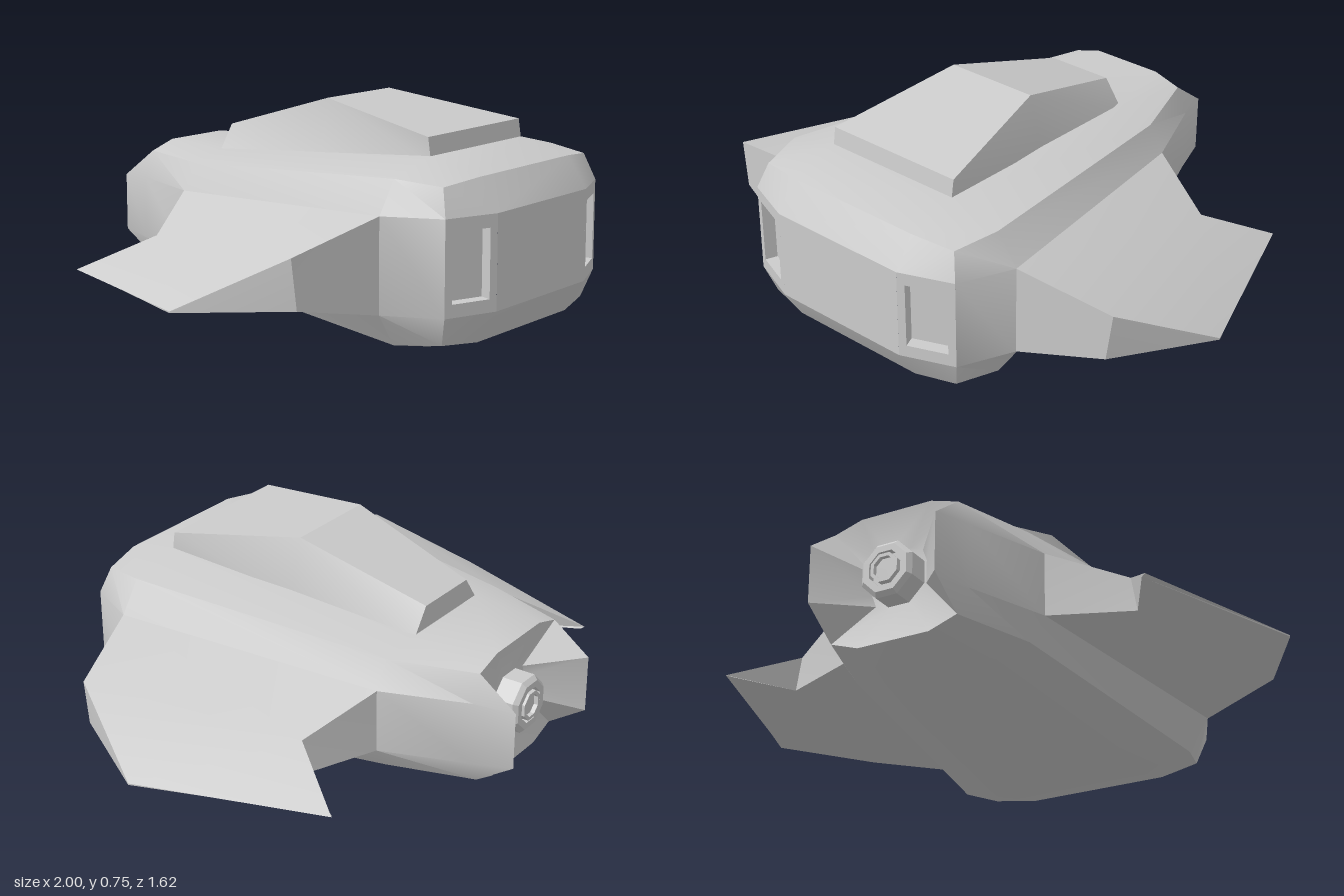
import * as THREE from 'three';
import { toCreasedNormals } from 'three/addons/utils/BufferGeometryUtils.js';

const material = new THREE.MeshStandardMaterial({ color: 0xcccccc });

function addMesh(parent, name, geometry) {
  const mesh = new THREE.Mesh(geometry, material);
  mesh.name = name;
  parent.add(mesh);
  return mesh;
}

// Triangles (lists of three [x, y, z] points) to a geometry, dropping collapsed ones
function fromTriangles(triangles, crease = 0.5) {
  const same = (a, b) => a.every((v, i) => v === b[i]);
  const kept = triangles.filter(([a, b, c]) => !same(a, b) && !same(b, c) && !same(a, c));
  const geometry = new THREE.BufferGeometry();
  geometry.setAttribute('position', new THREE.Float32BufferAttribute(kept.flat(2), 3));
  geometry.computeVertexNormals();
  return toCreasedNormals(geometry, crease);
}

const quad = (a, b, c, d) => [[a, b, c], [a, c, d]];
const fan = (ring) => ring.slice(2).map((p, i) => [ring[0], ring[i + 1], p]);

// Full cross-section from its right half, listed top to bottom
const mirrorRing = (half) => [...half, ...half.map(([x, y, z]) => [-x, y, z]).reverse()];

// Skin over rings running front to back, closed at both ends
function loft(rings, skip = () => false) {
  const triangles = [];
  for (let r = 0; r < rings.length - 1; r++) {
    const a = rings[r], b = rings[r + 1];
    for (let i = 0; i < a.length; i++) {
      const j = (i + 1) % a.length;
      if (!skip(r, i)) triangles.push(...quad(a[i], a[j], b[j], b[i]));
    }
  }
  triangles.push(...fan([...rings[0]].reverse()), ...fan(rings[rings.length - 1]));
  return triangles;
}

// Chamfered hull, flared rear cowl and the bowl inside it
function hullGeometry() {
  const section = (z, xs, ys) => mirrorRing(xs.map((x, i) => [x, ys[i], z]));
  const nose = section(0.81, Array(6).fill(0.26), [0.47, 0.47, 0.47, 0.16, 0.16, 0.16]);
  const brow = mirrorRing([
    [0.26, 0.575, 0.74], [0.41, 0.56, 0.71], [0.44, 0.47, 0.74],
    [0.44, 0.16, 0.74], [0.41, 0.065, 0.71], [0.26, 0.05, 0.74],
  ]);
  const rearY = [0.54, 0.51, 0.42, 0.2, 0.12, 0.085];
  const rim = mirrorRing([
    [0.13, 0.54, -0.68], [0.23, 0.51, -0.68], [0.23, 0.41, -0.815],
    [0.23, 0.21, -0.815], [0.23, 0.12, -0.68], [0.13, 0.085, -0.68],
  ]);
  const rings = [
    nose,
    brow,
    section(0.555, [0.26, 0.45, 0.525, 0.525, 0.45, 0.26], [0.62, 0.575, 0.47, 0.16, 0.05, 0.005]),
    section(-0.39, [0.19, 0.325, 0.38, 0.38, 0.325, 0.19], rearY),
    section(-0.68, [0.13, 0.23, 0.27, 0.27, 0.23, 0.13], rearY),
    rim,
    section(-0.65, [0.04, 0.085, 0.1, 0.1, 0.085, 0.04], [0.41, 0.39, 0.35, 0.27, 0.23, 0.21]),
  ];
  // The two angled nose facets are left open for the recessed windows
  return fromTriangles(loft(rings, (r, i) => r === 0 && (i === 2 || i === 8)));
}

// Raised canopy with sloping sides
function canopyGeometry() {
  const stations = [
    [[0.26, 0.68, 0.545], [0.26, 0.6, 0.557]],
    [[0.17, 0.755, 0.07], [0.225, 0.55, 0.07]],
    [[0.12, 0.62, -0.4], [0.19, 0.52, -0.4]],
  ];
  return fromTriangles(loft(stations.map(mirrorRing)), 0.4);
}

// Tapered wing with a notched trailing edge
function wingGeometry(side) {
  const top = [
    [0.525, 0.47, 0.555], [0.83, 0.38, 0.46], [1, 0.2, 0.125],
    [0.78, 0.2, -0.505], [0.63, 0.32, -0.28], [0.38, 0.42, -0.39],
  ];
  const bottom = [
    [0.525, 0.16, 0.555], [0.81, 0.215, 0.465], [1, 0.195, 0.125],
    [0.765, 0.195, -0.495], [0.65, 0.2, -0.28], [0.38, 0.2, -0.39],
  ];
  const faces = [[0, 1, 4], [0, 4, 5], [1, 2, 4], [2, 3, 4]];
  let triangles = [];
  for (const [a, b, c] of faces) {
    triangles.push([top[a], top[b], top[c]], [bottom[c], bottom[b], bottom[a]]);
  }
  for (let i = 0; i < 5; i++) {
    triangles.push(...quad(top[i], bottom[i], bottom[i + 1], top[i + 1]));
  }
  if (side < 0) {
    triangles = triangles.map((t) => t.map(([x, y, z]) => [-x, y, z]).reverse());
  }
  return fromTriangles(triangles, 0.4);
}

// Recessed nose window: a frame with a hole and a panel behind it
function createWindow(side) {
  const group = new THREE.Group();
  const rect = (path, w, h) => path
    .moveTo(-w / 2, -h / 2).lineTo(w / 2, -h / 2).lineTo(w / 2, h / 2).lineTo(-w / 2, h / 2).closePath();
  const depth = 0.045;
  const shape = rect(new THREE.Shape(), 0.193, 0.31);
  shape.holes.push(rect(new THREE.Path(), 0.14, 0.225));
  const frame = new THREE.ExtrudeGeometry(shape, { depth, bevelEnabled: false });
  addMesh(group, 'windowFrame', frame.translate(0, 0, -depth));
  addMesh(group, 'windowPanel', new THREE.PlaneGeometry(0.15, 0.235).translate(0, 0, -depth + 0.002));
  group.position.set(side * 0.35, 0.315, 0.775);
  group.rotation.y = side * Math.atan2(0.07, 0.18);
  return group;
}

// Eight-sided thruster with an inner nozzle
function thrusterGeometry() {
  const profile = [[0.1, 0], [0.1, 0.11], [0.085, 0.125], [0.062, 0.125], [0.062, 0.1],
    [0.052, 0.1], [0.052, 0.13], [0.04, 0.13], [0.04, 0.115], [0, 0.115]]
    .map(([r, h]) => new THREE.Vector2(r, h));
  const geometry = new THREE.LatheGeometry(profile, 8, Math.PI / 8);
  return toCreasedNormals(geometry.rotateX(-Math.PI / 2), 0.4);
}

export function createModel() {
  const model = new THREE.Group();
  model.name = 'shuttle';
  addMesh(model, 'hull', hullGeometry());
  addMesh(model, 'canopy', canopyGeometry());
  for (const [side, label] of [[1, 'left'], [-1, 'right']]) {
    addMesh(model, label + 'Wing', wingGeometry(side));
    const window = createWindow(side);
    window.name = label + 'Window';
    model.add(window);
  }
  addMesh(model, 'thruster', thrusterGeometry()).position.set(0, 0.31, -0.612);
  return model;
}
